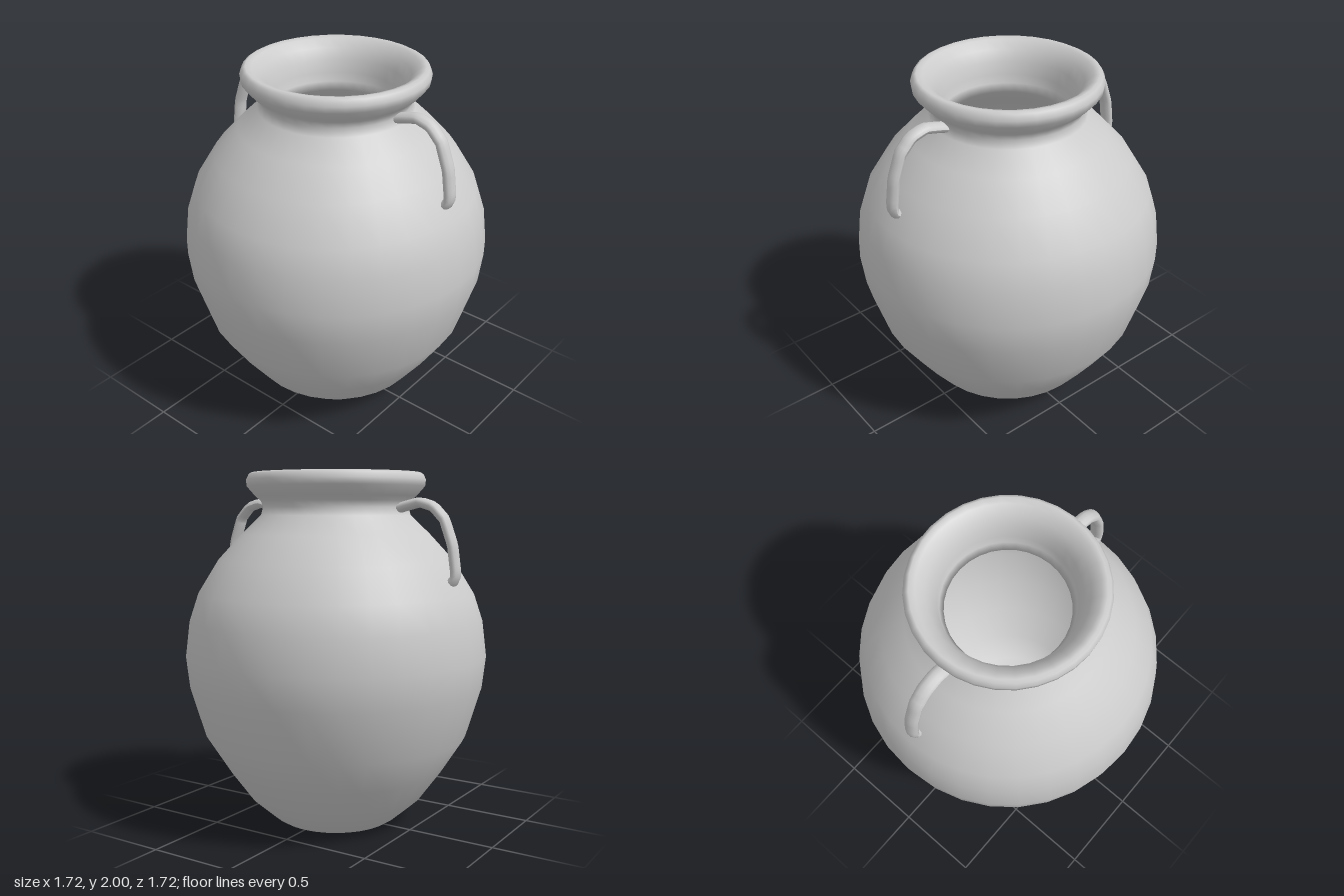
import * as THREE from 'three';

const material = new THREE.MeshStandardMaterial({ color: 0xcccccc });

// Closed wall profile: base, belly, neck and rim outside, then back down the inside
const jarProfile = [
  [0, 0], [0.31, 0], [0.335, 0.004], [0.375, 0.03], [0.505, 0.145], [0.635, 0.325],
  [0.755, 0.515], [0.84, 0.8], [0.86, 0.98], [0.835, 1.18], [0.785, 1.33],
  [0.67, 1.515], [0.535, 1.66], [0.425, 1.765], [0.412, 1.81], [0.425, 1.845],
  [0.455, 1.87], [0.503, 1.925], [0.507, 1.96], [0.493, 1.99], [0.475, 2],
  [0.445, 1.992], [0.4, 1.95], [0.37, 1.89], [0.352, 1.82], [0.345, 1.77],
  [0.325, 1.725], [0.48, 1.6], [0.61, 1.465], [0.72, 1.29], [0.785, 0.98],
  [0.765, 0.81], [0.69, 0.55], [0.57, 0.37], [0.45, 0.2], [0.33, 0.09], [0, 0.08],
];

// Handle centre line as [distance from the axis, height]
const handlePath = [
  [0.38, 1.795], [0.45, 1.815], [0.535, 1.835], [0.615, 1.812], [0.68, 1.745],
  [0.73, 1.61], [0.752, 1.46], [0.745, 1.425], [0.7, 1.395],
];

function makeHandle() {
  const path = new THREE.CurvePath();
  const points = handlePath.map(([z, y]) => new THREE.Vector3(0, y, z));
  for (let i = 1; i < points.length; i++) {
    path.add(new THREE.LineCurve3(points[i - 1], points[i]));
  }
  // Flattened strap: wider across than it is thick
  const geometry = new THREE.TubeGeometry(path, 28, 0.028, 10, false);
  geometry.scale(1.45, 1, 1);
  geometry.computeVertexNormals();
  return new THREE.Mesh(geometry, material);
}

export function createModel() {
  const model = new THREE.Group();
  model.name = 'jar';

  const body = new THREE.Mesh(
    new THREE.LatheGeometry(jarProfile.map(([r, y]) => new THREE.Vector2(r, y)), 32),
    material
  );
  body.name = 'jarBody';
  model.add(body);

  // Matching handles at front and back
  ['frontHandle', 'backHandle'].forEach((name, i) => {
    const handle = makeHandle();
    handle.name = name;
    handle.rotation.y = i * Math.PI;
    model.add(handle);
  });

  return model;
}
